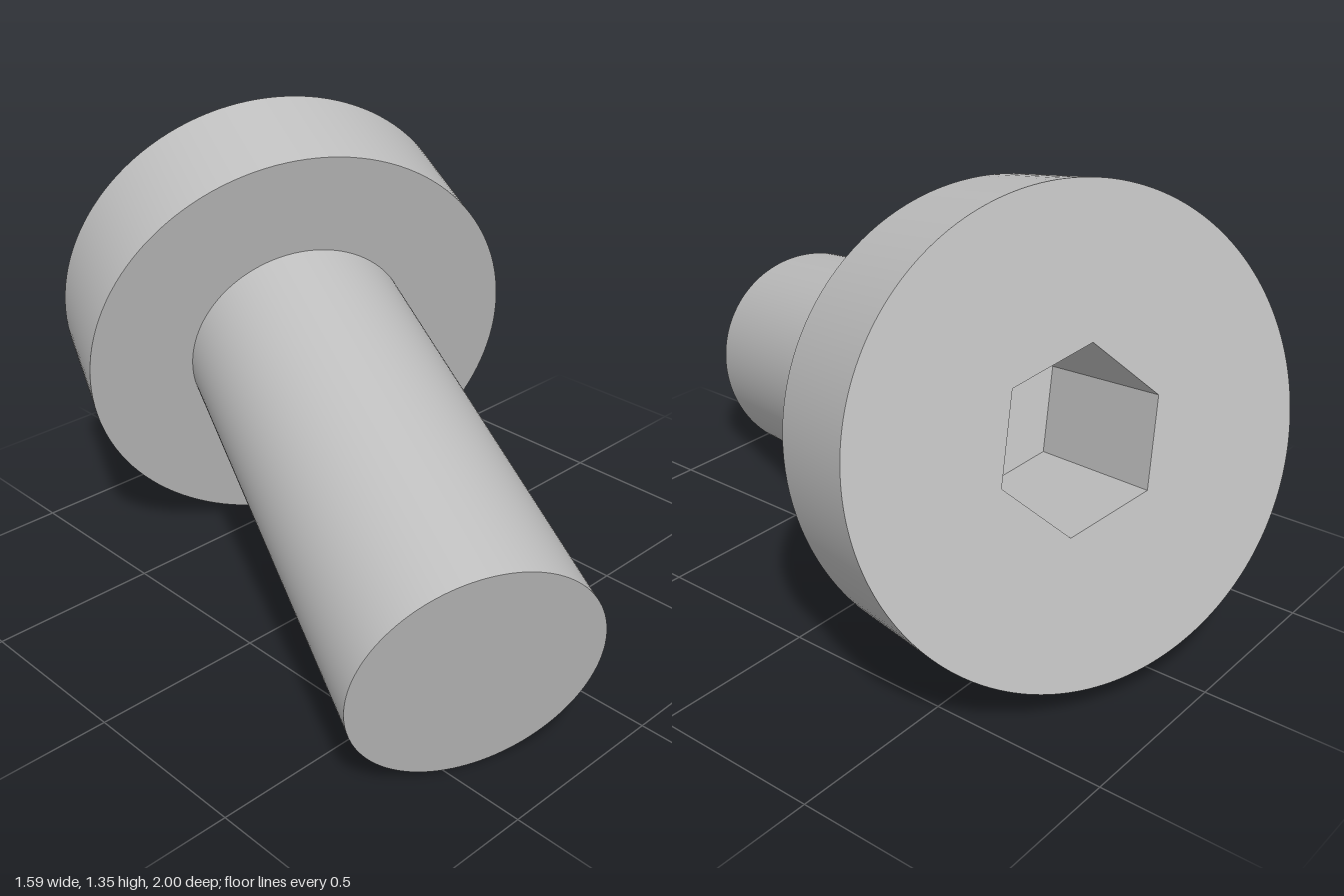
import * as THREE from 'three';

const HEAD_R = 0.648, HEAD_H = 0.372;
const SHANK_R = 0.341, LENGTH = 1.737;
const HEX_R = 0.246, HEX_DEPTH = 0.52;
const SEGMENTS = 128;

export function createModel() {
  const steel = new THREE.MeshStandardMaterial({ color: 0xc0c0c0 });
  steel.name = 'steel grey';

  // Bolt frame: +z points out of the head face, the shank runs along -z
  const bolt = new THREE.Group();
  bolt.name = 'bolt';
  const add = (name, geometry, z) => {
    const mesh = new THREE.Mesh(geometry, steel);
    mesh.name = name;
    mesh.position.z = z;
    bolt.add(mesh);
  };
  const wall = (radius, height, sides, start = 0) =>
    new THREE.CylinderGeometry(radius, radius, height, sides, 1, true, start).rotateX(Math.PI / 2);

  // Head face with a hexagonal opening
  const face = new THREE.Shape().absarc(0, 0, HEAD_R, 0, Math.PI * 2);
  const hexagon = [];
  for (let i = 0; i < 6; i++) {
    const a = i * Math.PI / 3;
    hexagon.push(new THREE.Vector2(HEX_R * Math.cos(a), HEX_R * Math.sin(a)));
  }
  face.holes.push(new THREE.Path(hexagon));
  add('headFace', new THREE.ShapeGeometry(face, SEGMENTS), 0);

  // Head rim and underside
  add('headRim', wall(HEAD_R, HEAD_H, SEGMENTS), -HEAD_H / 2);
  add('headUnderside', new THREE.RingGeometry(SHANK_R, HEAD_R, SEGMENTS).rotateX(Math.PI), -HEAD_H);

  // Shank and its flat end
  add('shank', wall(SHANK_R, LENGTH - HEAD_H, SEGMENTS), -(LENGTH + HEAD_H) / 2);
  add('shankEnd', new THREE.CircleGeometry(SHANK_R, SEGMENTS).rotateX(Math.PI), -LENGTH);

  // Hex socket: the negative height turns its walls inward
  const socket = wall(HEX_R, -HEX_DEPTH, 6, Math.PI / 6).toNonIndexed();
  socket.computeVertexNormals();
  add('socketWalls', socket, -HEX_DEPTH / 2);
  add('socketFloor', new THREE.CircleGeometry(HEX_R, 6), -HEX_DEPTH);

  // Tilt the bolt so it rests on the head rim and the shank end
  const out = new THREE.Vector3(0.3925, 0.2215, -0.8926).normalize();
  const corner = new THREE.Vector3(-0.071, 0.235, 0.027);
  const up = new THREE.Vector3().crossVectors(out, corner).normalize();
  corner.crossVectors(up, out);
  bolt.quaternion.setFromRotationMatrix(new THREE.Matrix4().makeBasis(corner, up, out));
  bolt.position.set(0.197, 0.718, -0.706);

  const model = new THREE.Group();
  model.name = 'socketHeadBolt';
  model.add(bolt);
  return model;
}
